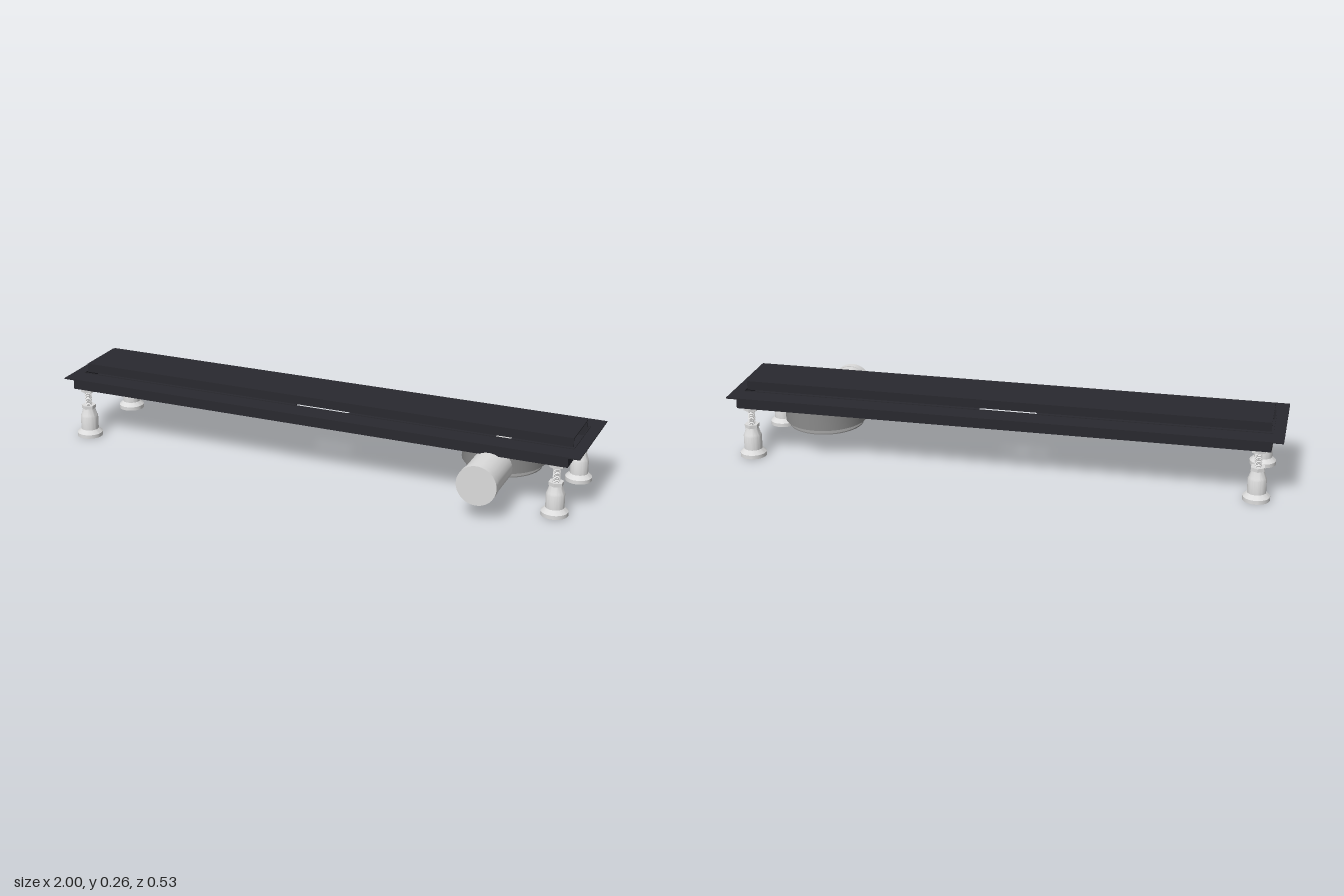
import * as THREE from 'three';
import { toCreasedNormals } from 'three/addons/utils/BufferGeometryUtils.js';

const CENTER_Z = -0.057;

export function createModel() {
  const group = new THREE.Group();
  const mat = (name, color) => {
    const m = new THREE.MeshStandardMaterial({ color });
    m.name = name;
    return m;
  };
  const dark = mat('anthracite', 0x29292f);
  const light = mat('light grey', 0xdcdcdc);
  const grey = mat('mid grey', 0x8a8a8a);

  const add = (parent, name, geometry, material, x = 0, y = 0, z = 0) => {
    const mesh = new THREE.Mesh(geometry, material);
    mesh.name = name;
    mesh.position.set(x, y, z);
    parent.add(mesh);
    return mesh;
  };
  const box = (parent, name, x0, x1, y0, y1, z0, z1) =>
    add(parent, name, new THREE.BoxGeometry(x1 - x0, y1 - y0, z1 - z0), dark,
      (x0 + x1) / 2, (y0 + y1) / 2, (z0 + z1) / 2);
  const lathe = (points, segments = 40) => toCreasedNormals(
    new THREE.LatheGeometry(points.map(([r, y]) => new THREE.Vector2(r, y)), segments), 0.5);

  // Horizontal sheet with one opening
  const rect = (path, x, z0, z1) =>
    path.moveTo(-x, -z1).lineTo(x, -z1).lineTo(x, -z0).lineTo(-x, -z0).closePath();
  const sheet = (outline, hole, thickness) => {
    outline.holes.push(hole);
    return new THREE.ExtrudeGeometry(outline, { depth: thickness, bevelEnabled: false, curveSegments: 32 })
      .rotateX(-Math.PI / 2);
  };

  // Tray: flange frame, trough rim, skirt walls and a floor with a round hole
  const tray = new THREE.Group();
  tray.name = 'tray';
  group.add(tray);
  const back = -0.246, front = 0.132, t = 0.003, floorY = 0.19;
  add(tray, 'flange', sheet(rect(new THREE.Shape(), 1, back, front),
    rect(new THREE.Path(), 0.957, -0.167, 0.052), 0.004), dark, 0, 0.2235, 0);
  add(tray, 'troughRim', sheet(rect(new THREE.Shape(), 0.96, -0.17, 0.055),
    rect(new THREE.Path(), 0.957, -0.167, 0.052), 0.039), dark, 0, floorY + 0.001, 0);
  const drainHole = new THREE.Path();
  drainHole.absarc(-0.008, -CENTER_Z, 0.107, 0, Math.PI * 2, true);
  add(tray, 'floor', sheet(rect(new THREE.Shape(), 0.96, back, front), drainHole, t),
    dark, 0, floorY, 0);
  box(tray, 'frontSkirt', -0.96, 0.96, floorY + t, 0.2235, front - t, front);
  box(tray, 'backSkirt', -0.96, 0.96, floorY + t, 0.2235, back, back + t);
  box(tray, 'rightSkirt', -0.96, -0.957, floorY + t, 0.2235, back + t, front - t);
  box(tray, 'leftSkirt', 0.957, 0.96, floorY + t, 0.2235, back + t, front - t);

  // Cover: an open-ended channel turned upside down
  const cover = new THREE.Group();
  cover.name = 'cover';
  group.add(cover);
  box(cover, 'coverTop', -0.953, 0.953, 0.257, 0.261, -0.152, 0.038);
  box(cover, 'coverFrontWall', -0.953, 0.953, 0.228, 0.257, 0.034, 0.038);
  box(cover, 'coverBackWall', -0.953, 0.953, 0.228, 0.257, -0.152, -0.148);

  // Drain trap with its flared base
  const drain = new THREE.Group();
  drain.name = 'drain';
  drain.position.set(0.684, 0, 0);
  group.add(drain);
  add(drain, 'trapBody', lathe([
    [0, 0.09], [0.136, 0.09], [0.136, 0.094], [0.113, 0.11], [0.15, 0.11],
    [0.15, 0.184], [0.136, 0.186], [0.136, floorY], [0, floorY],
  ], 64), grey, 0, 0, CENTER_Z);

  // Outlet pipe with end collar, running forward
  const pipe = add(drain, 'outletPipe', lathe([
    [0, -0.057], [0.069, -0.057], [0.069, 0.239], [0.072, 0.239], [0.072, 0.266], [0, 0.266],
  ], 48), light, 0, 0.13, 0);
  pipe.rotation.x = Math.PI / 2;

  // Adjustable feet: hollow base, threaded rod and two hexagonal nuts
  const baseGeometry = lathe([
    [0, 0.025], [0.026, 0.025], [0.032, 0], [0.048, 0], [0.048, 0.014], [0.033, 0.028],
    [0.033, 0.079], [0.03, 0.085], [0.022, 0.111], [0, 0.111],
  ]);
  const thread = [[0.011, 0.11]];
  for (let y = 0.122; y < 0.174; y += 0.005) thread.push([0.011, y], [0.0135, y + 0.0025]);
  thread.push([0.011, 0.178]);
  const threadGeometry = lathe(thread, 20);
  const nutGeometry = toCreasedNormals(new THREE.CylinderGeometry(0.027, 0.027, 0.013, 6), 0.5);
  for (const x of [-0.917, 0.917]) {
    for (const z of [-0.217, 0.104]) {
      const foot = new THREE.Group();
      foot.name = 'foot';
      foot.position.set(x, 0, z);
      add(foot, 'footBase', baseGeometry, light);
      add(foot, 'threadedRod', threadGeometry, light);
      add(foot, 'lowerNut', nutGeometry, light, 0, 0.1165, 0);
      add(foot, 'upperNut', nutGeometry, light, 0, 0.1835, 0);
      group.add(foot);
    }
  }
  return group;
}
